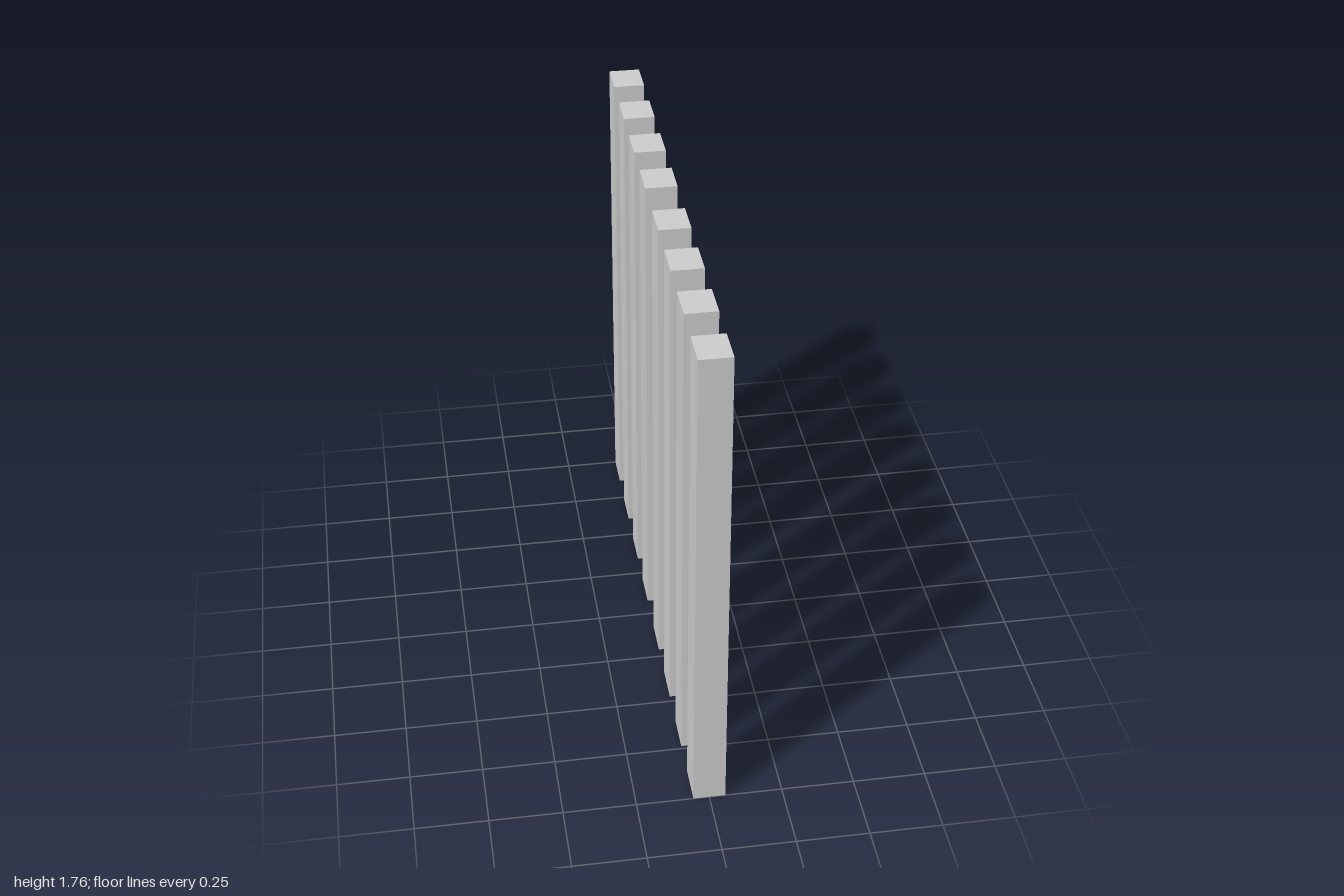
import * as THREE from 'three';

// A row of upright square posts: two mirrored groups of four.
export function createModel() {
  const model = new THREE.Group();
  model.name = 'slatScreen';

  const height = 1.765, width = 0.11, depth = 0.135;
  const spacing = 0.2627, outer = 1 - depth / 2;
  const geometry = new THREE.BoxGeometry(width, height, depth);
  const material = new THREE.MeshStandardMaterial({ color: 0xcccccc, flatShading: true });

  for (const [side, label] of [[1, 'front'], [-1, 'back']]) {
    const half = new THREE.Group();
    half.name = `${label}Slats`;
    // Step inward from the end, leaving a slightly wider gap at the middle
    for (let i = 0; i < 4; i++) {
      const slat = new THREE.Mesh(geometry, material);
      slat.name = `${label}Slat${i + 1}`;
      slat.position.set(0, height / 2, side * (outer - i * spacing));
      half.add(slat);
    }
    model.add(half);
  }
  return model;
}
